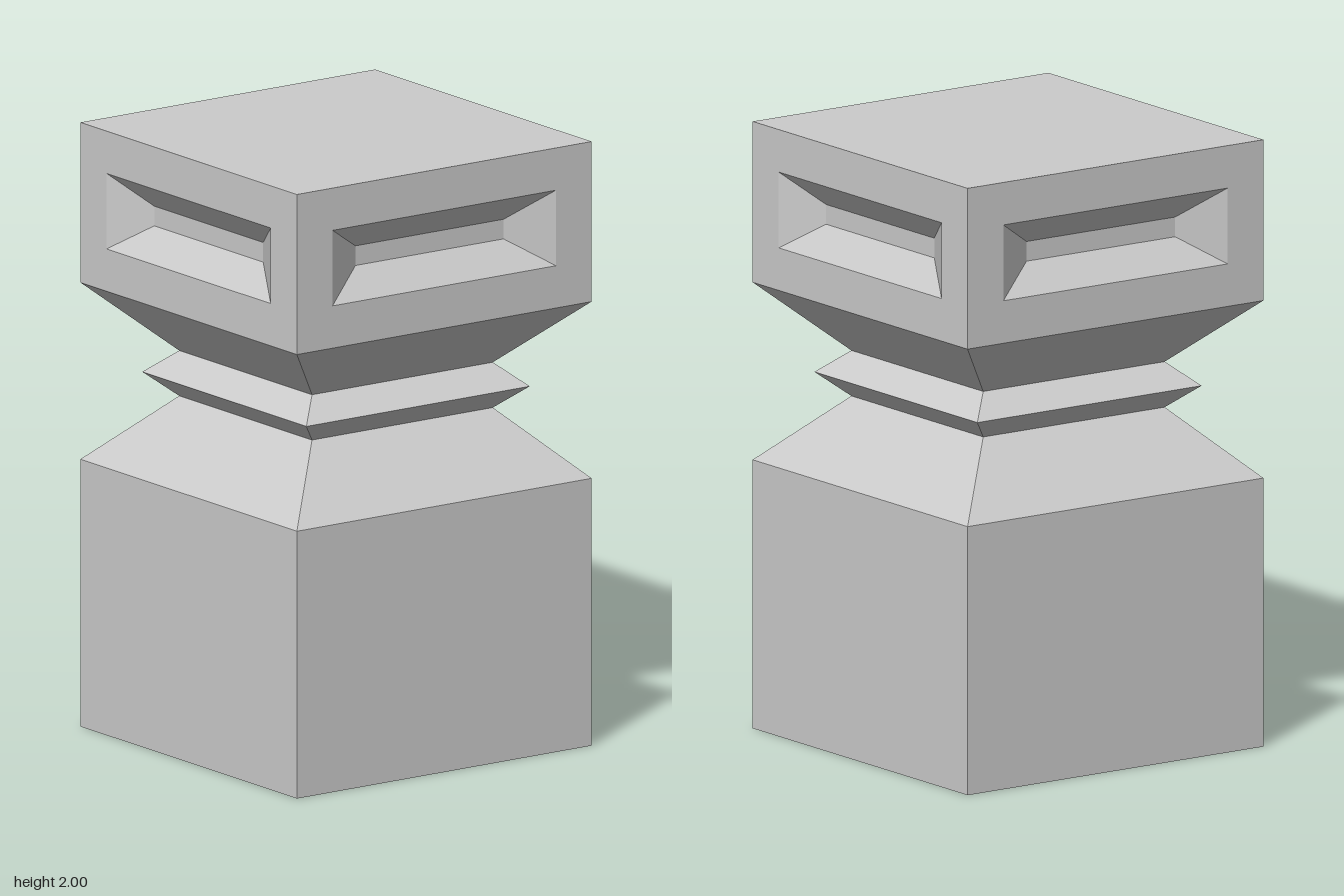
import * as THREE from 'three';

const HALF = 0.587;   // half width of the post
const NECK = 0.36;    // half width at the narrow points
const HEAD_Y = 1.47;  // underside of the slotted block
const TOP = 2;

const material = new THREE.MeshStandardMaterial({ color: 0xcccccc, flatShading: true });

// Four corners of a level square, counter-clockwise from above
const square = (h, y) => [[h, y, h], [h, y, -h], [-h, y, -h], [-h, y, h]];

// Four corners of an upright rectangle, counter-clockwise from the front
const rect = (w, y0, y1, z) => [[w, y0, z], [w, y1, z], [-w, y1, z], [-w, y0, z]];

// Skins successive four-cornered loops, optionally closing either end
function loft(name, loops, { start = false, end = false } = {}) {
  const points = [];
  const quad = (a, b, c, d) => points.push(...a, ...b, ...c, ...a, ...c, ...d);
  for (let k = 0; k < loops.length - 1; k++) {
    const a = loops[k], b = loops[k + 1];
    for (let i = 0; i < 4; i++) {
      const j = (i + 1) % 4;
      quad(a[i], a[j], b[j], b[i]);
    }
  }
  if (start) quad(...[...loops[0]].reverse());
  if (end) quad(...loops[loops.length - 1]);
  const geometry = new THREE.BufferGeometry();
  geometry.setAttribute('position', new THREE.Float32BufferAttribute(points, 3));
  geometry.computeVertexNormals();
  const mesh = new THREE.Mesh(geometry, material);
  mesh.name = name;
  return mesh;
}

export function createModel() {
  const model = new THREE.Group();
  model.name = 'squarePost';

  // Base block with sloping shoulders
  model.add(loft('base', [square(HALF, 0), square(HALF, 0.885), square(NECK, 1.107)], { start: true }));

  // Sharp-edged collar around the neck
  model.add(loft('collar', [square(NECK, 1.107), square(0.445, 1.182), square(NECK, 1.257)]));

  // Flared underside of the head
  model.add(loft('headFlare', [square(NECK, 1.257), square(HALF, HEAD_Y)]));

  // Head: four identical walls, each with a bevelled recess
  const head = new THREE.Group();
  head.name = 'head';
  for (let i = 0; i < 4; i++) {
    const wall = loft('recessedWall', [
      rect(HALF, HEAD_Y, TOP, HALF),
      rect(0.445, 1.61, 1.86, HALF),
      rect(0.295, 1.705, 1.77, HALF - 0.08),
    ], { end: true });
    wall.rotation.y = i * Math.PI / 2;
    head.add(wall);
  }

  // Flat top
  head.add(loft('top', [square(HALF, TOP)], { end: true }));
  model.add(head);

  return model;
}
